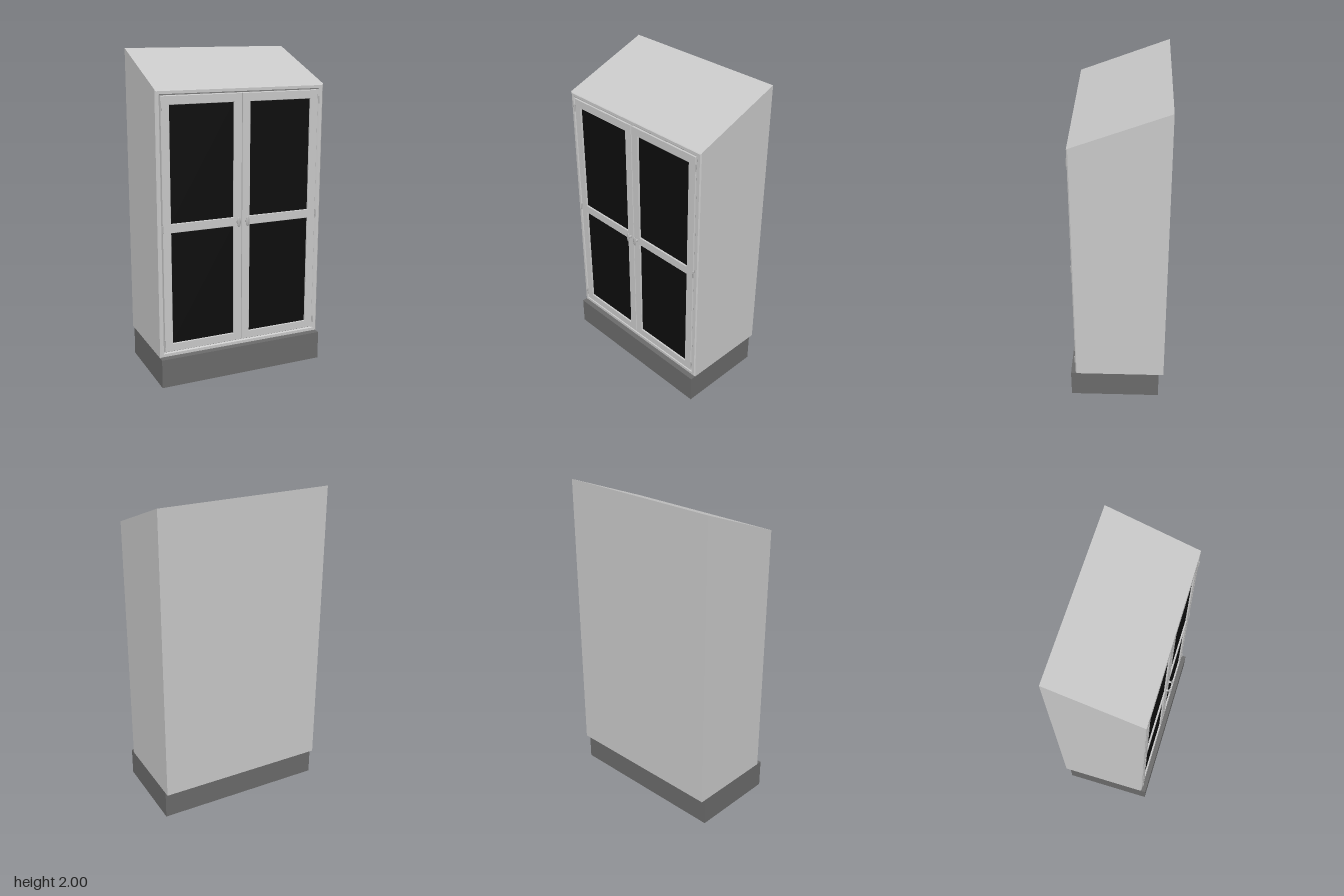
import * as THREE from 'three';

const mat = (name, color) => {
  const m = new THREE.MeshStandardMaterial({ color });
  m.name = name;
  return m;
};

const rect = (C, x0, y0, x1, y1) => {
  const s = new C();
  s.moveTo(x0, y0);
  s.lineTo(x1, y0);
  s.lineTo(x1, y1);
  s.lineTo(x0, y1);
  s.closePath();
  return s;
};

export function createModel() {
  const group = new THREE.Group();
  const paint = mat('light grey paint', 0xc8c8c8);
  const plinthGrey = mat('dark grey plinth', 0x6a6a6a);
  const glass = mat('black glass', 0x0d0d0d);
  const metal = mat('grey metal', 0xb4b4b4);

  const add = (name, geometry, material, x = 0, y = 0, z = 0, parent = group) => {
    const m = new THREE.Mesh(geometry, material);
    m.name = name;
    m.position.set(x, y, z);
    parent.add(m);
    return m;
  };
  const block = (name, material, x0, x1, y0, y1, z0, z1) =>
    add(name, new THREE.BoxGeometry(x1 - x0, y1 - y0, z1 - z0), material,
      (x0 + x1) / 2, (y0 + y1) / 2, (z0 + z1) / 2);
  // Panel with openings and softly chamfered edges, front at zFront
  const panel = (name, outer, holes, zBack, zFront, bevel) => {
    const s = rect(THREE.Shape, ...outer);
    s.holes = holes.map(h => rect(THREE.Path, ...h));
    const g = new THREE.ExtrudeGeometry(s, {
      depth: zFront - zBack - 2 * bevel, bevelThickness: bevel,
      bevelSize: bevel, bevelOffset: -bevel, bevelSegments: 1
    });
    add(name, g, paint, 0, 0, zBack + bevel);
  };

  const W = 0.54, BACK = -0.294, FRONT = 0.265, TOP = 1.79;

  // Plinth, set slightly forward of the cabinet
  block('plinth', plinthGrey, -W, W, 0, 0.18, -0.264, 0.294);

  // Cabinet body and face frame
  block('carcass', paint, -W, W, 0.18, TOP, BACK, 0.235);
  panel('faceFrame', [-W, 0.18, W, TOP], [[-0.511, 0.212, 0.507, 1.759]], 0.215, FRONT, 0.007);

  // Sloping top
  const wedge = new THREE.Shape();
  wedge.moveTo(-FRONT, TOP);
  wedge.lineTo(-BACK, TOP);
  wedge.lineTo(-BACK, 2);
  wedge.closePath();
  const roof = new THREE.ExtrudeGeometry(wedge, { depth: 2 * W, bevelEnabled: false });
  roof.rotateY(Math.PI / 2);
  add('slopingTop', roof, paint, -W, 0, 0);

  // Doors with two panes each
  const rows = [[0.265, 0.957], [1.012, 1.704]];
  const doors = [
    ['rightDoor', -0.508, -0.004, -0.457, -0.057],
    ['leftDoor', 0, 0.504, 0.05, 0.451]
  ];
  for (const [name, x0, x1, wx0, wx1] of doors) {
    panel(name, [x0, 0.215, x1, 1.756], rows.map(([a, b]) => [wx0, a, wx1, b]), 0.22, FRONT, 0.002);
    for (const [a, b] of rows) block(name + 'Pane', glass, wx0, wx1, a, b, 0.247, 0.255);
  }

  // Hinges and handles
  const barrel = new THREE.CylinderGeometry(0.005, 0.005, 0.046, 10);
  const stem = new THREE.CylinderGeometry(0.005, 0.009, 0.022, 12).rotateX(Math.PI / 2);
  const grip = new THREE.SphereGeometry(1, 20, 12).scale(0.012, 0.032, 0.006);
  for (const side of [-1, 1]) {
    for (const y of [0.27, 0.985, 1.695])
      add('hinge', barrel, metal, side * 0.509 - 0.001, y, 0.268);
    const handle = new THREE.Group();
    handle.name = 'handle';
    handle.position.set(side * 0.029 - 0.003, 0.985, 0);
    add('handleStem', stem, metal, 0, 0, 0.275, handle);
    add('handleGrip', grip, metal, 0, 0, 0.286, handle);
    group.add(handle);
  }
  return group;
}
